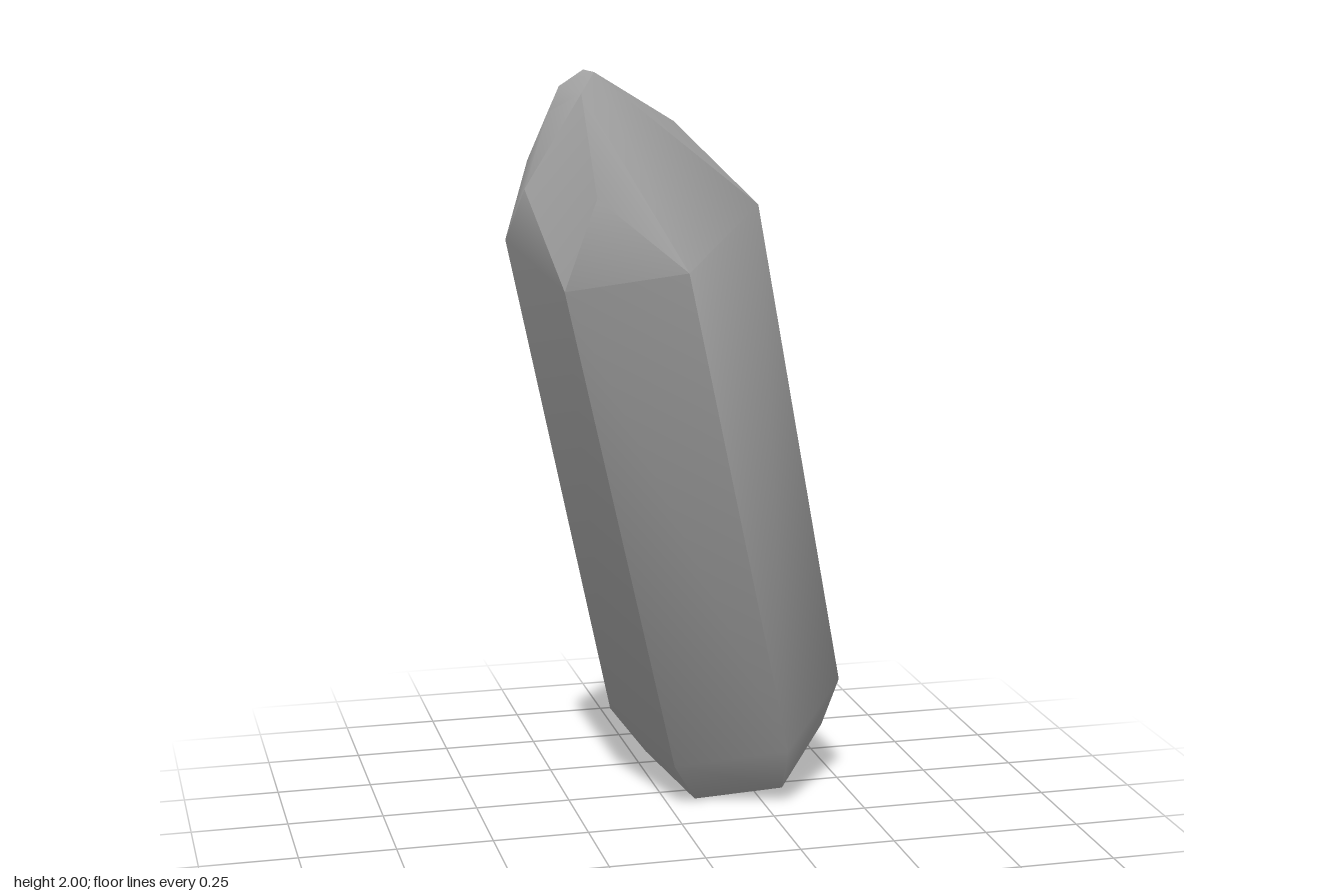
import * as THREE from 'three';
import { ConvexGeometry } from 'three/addons/geometries/ConvexGeometry.js';
import { toCreasedNormals } from 'three/addons/utils/BufferGeometryUtils.js';

// Six-sided cross-sections, listed in the same order around the leaning axis
const baseRing = [
  [0.08, 0, -0.18], [0.30, 0.04, -0.10], [0.46, 0.15, -0.27],
  [0.375, 0.21, -0.47], [0.155, 0.18, -0.55], [-0.005, 0.07, -0.39],
];
const lowerRing = [
  [0, 0.13, -0.08], [0.285, 0.18, 0.01], [0.48, 0.305, -0.18],
  [0.395, 0.40, -0.47], [0.107, 0.345, -0.54], [-0.11, 0.21, -0.365],
];
const shoulderRing = [
  [-0.396, 1.50, 0.475], [-0.12, 1.545, 0.553], [0.09, 1.675, 0.382],
  [-0.01, 1.77, 0.107], [-0.285, 1.71, 0.018], [-0.482, 1.585, 0.195],
];

// Corners of the cut facets on the tip
const tipCorners = [
  [-0.33, 2, 0.385], [-0.32, 2, 0.457], [-0.38, 1.96, 0.35], [-0.356, 1.955, 0.487],
  [-0.415, 1.905, 0.39], [-0.10, 1.87, 0.316], [-0.245, 1.885, 0.175],
  [-0.43, 1.775, 0.213], [-0.472, 1.73, 0.395], [-0.33, 1.72, 0.53],
];

export function createModel() {
  const group = new THREE.Group();
  group.name = 'crystal';

  const stone = new THREE.MeshStandardMaterial({ color: 0xaaaaaa });
  stone.name = 'grey stone';

  // The crystal is a convex solid: soft bevels, sharp long edges
  const corners = [...baseRing, ...lowerRing, ...shoulderRing, ...tipCorners]
    .map((p) => new THREE.Vector3(...p));
  const shard = new THREE.Mesh(toCreasedNormals(new ConvexGeometry(corners), 0.6), stone);
  shard.name = 'crystalShard';
  group.add(shard);

  return group;
}
